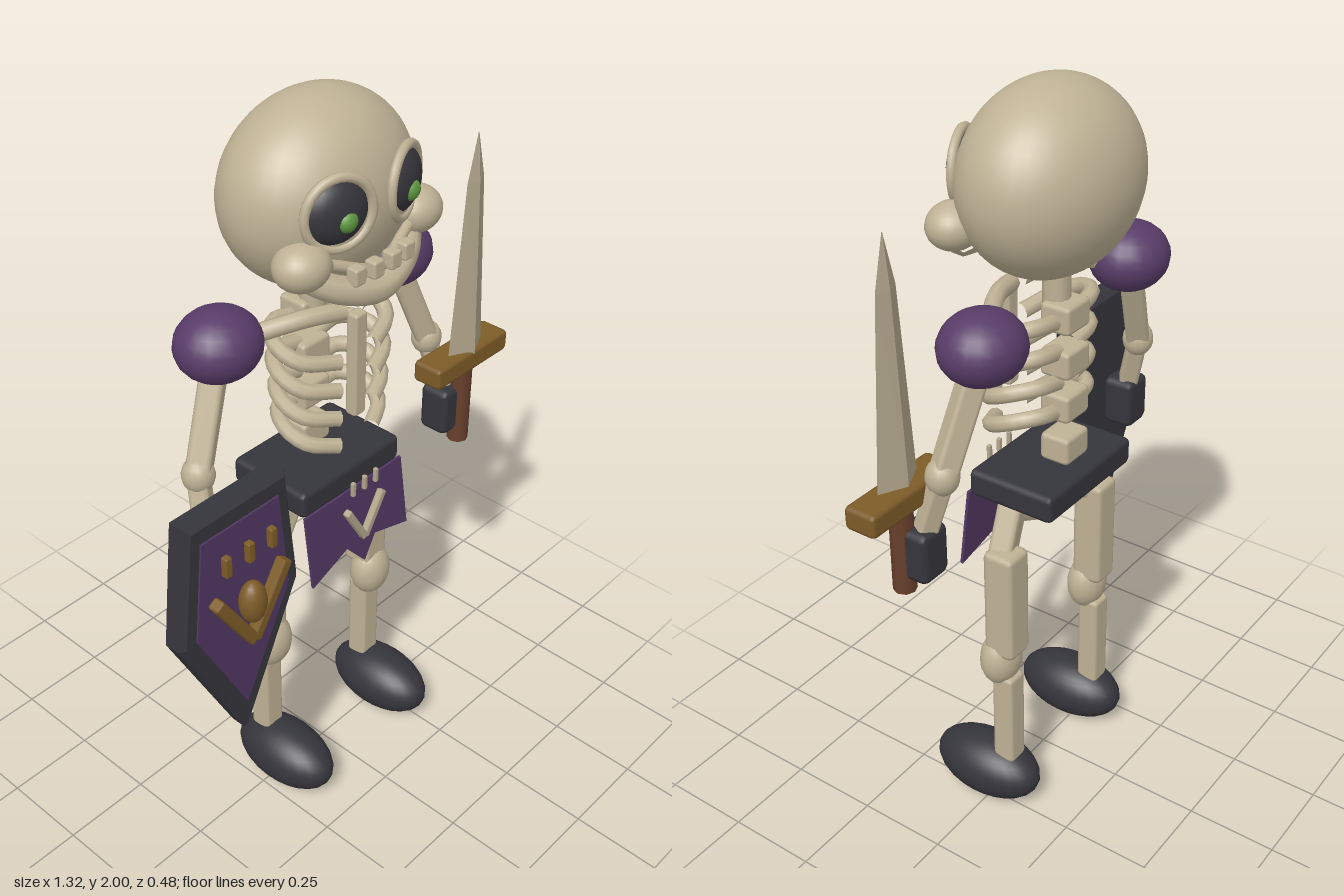
import * as THREE from 'three';
import { RoundedBoxGeometry } from 'three/addons/geometries/RoundedBoxGeometry.js';

const mat = (name, color) => {
  const m = new THREE.MeshStandardMaterial({ color });
  m.name = name;
  return m;
};
const V = (x, y, z) => new THREE.Vector3(x, y, z);

export function createModel() {
  const bone = mat('bone', 0xbfb295);
  const steel = mat('blade', 0xb2a68c);
  const dark = mat('darkIron', 0x35353c);
  const purple = mat('purpleArmour', 0x583c68);
  const cloth = mat('purpleCloth', 0x513762);
  cloth.side = THREE.DoubleSide;
  const gold = mat('gold', 0x7d5c28);
  const brown = mat('gripLeather', 0x683f2b);
  const green = mat('eyeGlow', 0x5f9a40);

  const model = new THREE.Group();
  model.name = 'skeletonWarrior';
  const body = new THREE.Group(); // symmetric figure, slightly off the centre line
  body.name = 'body';
  body.position.x = 0.03;
  model.add(body);

  const add = (parent, name, geo, material, x = 0, y = 0, z = 0) => {
    const m = new THREE.Mesh(geo, material);
    m.name = name;
    m.position.set(x, y, z);
    parent.add(m);
    return m;
  };
  const ball = (parent, name, material, p, r, seg = 24) => {
    const m = add(parent, name, new THREE.SphereGeometry(1, seg, Math.round(seg * 0.7)), material, ...p);
    m.scale.set(...r);
    return m;
  };
  const box = (parent, name, material, p, s, r = 0.012) =>
    add(parent, name, new RoundedBoxGeometry(...s, 1, r), material, ...p);
  // Square bar between two points
  const beam = (parent, name, material, a, b, w, d = w) => {
    const dir = b.clone().sub(a);
    const m = box(parent, name, material, a.clone().add(b).multiplyScalar(0.5).toArray(),
      [w, dir.length(), d], Math.min(w, d) * 0.2);
    m.quaternion.setFromUnitVectors(V(0, 1, 0), dir.normalize());
    return m;
  };
  const tube = (parent, name, material, pts, r, seg = 14) =>
    add(parent, name, new THREE.TubeGeometry(new THREE.CatmullRomCurve3(pts), seg, r, 8), material);
  const polygon = (pts) => new THREE.Shape(pts.map(([x, y]) => new THREE.Vector2(x, y)));

  // Skull, jaw and teeth
  ball(body, 'skull', bone, [0, 1.765, -0.045], [0.265, 0.235, 0.2], 40);
  tube(body, 'jaw', bone, [V(-0.2, 1.66, 0.06), V(-0.12, 1.605, 0.125), V(0, 1.575, 0.155),
    V(0.12, 1.605, 0.125), V(0.2, 1.66, 0.06)], 0.035, 20);
  tube(body, 'gum', bone, [V(-0.135, 1.67, 0.12), V(0, 1.625, 0.15), V(0.135, 1.67, 0.12)], 0.014);
  for (const x of [-0.085, -0.03, 0.03, 0.085])
    box(body, 'tooth', bone, [x, 1.638, 0.165 - Math.abs(x) * 0.12], [0.037, 0.045, 0.035], 0.007);

  // Spine and neck
  for (let i = 0; i < 4; i++) box(body, 'vertebra', bone, [0, 1.43 - i * 0.12, -0.085], [0.1, 0.075, 0.085]);
  add(body, 'neck', new THREE.CylinderGeometry(0.035, 0.035, 0.14, 10), bone, 0, 1.5, -0.06);
  box(body, 'sternum', bone, [0, 1.335, 0.085], [0.042, 0.29, 0.035], 0.008);

  // Belt, cloth and trim
  box(body, 'belt', dark, [0, 0.985, -0.045], [0.37, 0.075, 0.25], 0.015);
  const loin = add(body, 'loincloth', new THREE.ExtrudeGeometry(polygon([[-0.185, 0], [-0.175, -0.225],
    [-0.04, -0.175], [0.025, -0.25], [0.07, -0.185], [0.2, -0.22], [0.185, 0]]),
  { depth: 0.008, bevelEnabled: false }), cloth, 0, 0.955, 0.078);
  loin.rotation.x = -0.08;
  for (const x of [-0.043, 0, 0.043]) box(body, 'beltStud', steel, [x, 0.99, 0.12], [0.012, 0.042, 0.012], 0.003);
  tube(body, 'pelvis', bone, [V(-0.14, 0.95, -0.03), V(-0.08, 0.89, -0.04), V(0, 0.9, -0.06),
    V(0.08, 0.89, -0.04), V(0.14, 0.95, -0.03)], 0.03);

  for (const s of [-1, 1]) {
    // Face details
    ball(body, 'eyeSocket', dark, [s * 0.11, 1.79, 0.108], [0.085, 0.08, 0.047]).rotation.y = s * 0.3;
    const rim = add(body, 'eyeRim', new THREE.TorusGeometry(0.086, 0.012, 8, 28), bone, s * 0.112, 1.79, 0.125);
    rim.rotation.y = s * 0.35;
    ball(body, 'eye', green, [s * 0.107, 1.777, 0.147], [0.027, 0.026, 0.02], 16);
    ball(body, 'cheek', bone, [s * 0.195, 1.68, 0.09], [0.072, 0.058, 0.065]);

    // Collarbone and ribs
    tube(body, 'collarbone', bone, [V(s * 0.02, 1.48, 0.06), V(s * 0.12, 1.49, 0.03), V(s * 0.26, 1.465, -0.05)], 0.023);
    for (let i = 0; i < 4; i++) {
      const y = 1.42 - i * 0.082;
      const w = 0.172 - i * 0.008;
      tube(body, 'rib', bone, [V(s * 0.03, y, -0.085), V(s * w * 0.7, y + 0.015, -0.08), V(s * w, y, -0.02),
        V(s * w * 0.9, y - 0.03, 0.045), V(s * 0.06, y - 0.055, 0.085)], 0.021);
    }

    // Arm
    const elbow = V(s * 0.425, 1.17, -0.035);
    const wrist = V(s * 0.45, 1.0, 0.01);
    ball(body, 'shoulderPad', purple, [s * 0.308, 1.465, -0.07], [0.112, 0.09, 0.104], 20);
    beam(body, 'upperArm', bone, V(s * 0.31, 1.46, -0.07), elbow, 0.062);
    ball(body, 'elbow', bone, elbow.toArray(), [0.042, 0.048, 0.042], 16);
    beam(body, 'forearm', bone, elbow, wrist, 0.052);
    box(body, 'glove', dark, [s * 0.45, 0.96, 0.015], [0.095, 0.14, 0.09], 0.018);

    // Leg
    beam(body, 'hip', bone, V(s * 0.12, 0.97, -0.02), V(s * 0.2, 0.8, -0.03), 0.065);
    box(body, 'thigh', bone, [s * 0.205, 0.68, -0.048], [0.087, 0.32, 0.09], 0.016);
    ball(body, 'knee', bone, [s * 0.205, 0.49, -0.028], [0.063, 0.08, 0.053], 18);
    box(body, 'shin', bone, [s * 0.205, 0.3, -0.05], [0.065, 0.29, 0.065], 0.012);
    ball(body, 'boot', dark, [s * 0.205, 0.092, 0.022], [0.092, 0.09, 0.163], 24);
    beam(body, 'clothChevron', steel, V(s * 0.068, 0.93, 0.122), V(0, 0.815, 0.122), 0.02);
  }

  // Shield
  const shield = new THREE.Group();
  shield.name = 'shield';
  shield.position.set(-0.463, 0, 0);
  model.add(shield);
  const outline = (w, h, top, mid, tip) => polygon([[-w, top], [-h, mid], [0, tip], [h, mid], [w, top]]);
  add(shield, 'shieldBody', new THREE.ExtrudeGeometry(outline(0.16, 0.198, 1.24, 0.9, 0.505), {
    depth: 0.04, bevelThickness: 0.015, bevelSize: 0.015, bevelOffset: -0.015, bevelSegments: 1,
  }), dark, 0, 0, 0.117);
  add(shield, 'shieldField', new THREE.ExtrudeGeometry(outline(0.123, 0.152, 1.185, 0.91, 0.61),
    { depth: 0.006, bevelEnabled: false }), cloth, 0, 0, 0.171);
  ball(shield, 'shieldBoss', gold, [0, 0.96, 0.207], [0.037, 0.06, 0.033], 16);
  for (const s of [-1, 1])
    beam(shield, 'shieldChevron', gold, V(s * 0.113, 1.02, 0.202), V(0, 0.84, 0.202), 0.032);
  for (const x of [-0.073, 0, 0.073])
    box(shield, 'shieldStud', gold, [x, 1.108, 0.202], [0.02, 0.056, 0.02], 0.004);

  // Sword
  const sword = new THREE.Group();
  sword.name = 'sword';
  sword.position.set(0.51, 0, 0.05);
  model.add(sword);
  add(sword, 'grip', new THREE.CylinderGeometry(0.03, 0.03, 0.25, 8), brown, 0, 0.975, 0);
  box(sword, 'guard', gold, [0, 1.12, -0.005], [0.3, 0.062, 0.09], 0.012);

  // Blade: diamond cross-sections [y, half width, half depth], flat shaded
  const rings = [[1.14, 0.07, 0.035], [1.18, 0.068, 0.034], [1.64, 0.034, 0.014], [1.77, 0.001, 0.001]];
  const pos = [];
  const corner = ([y, w, d], k) => [[w, y, 0], [0, y, d], [-w, y, 0], [0, y, -d]][k % 4];
  for (let i = 0; i < rings.length - 1; i++)
    for (let k = 0; k < 4; k++) {
      const a = corner(rings[i], k), b = corner(rings[i], k + 1);
      const c = corner(rings[i + 1], k + 1), d = corner(rings[i + 1], k);
      pos.push(...a, ...c, ...b, ...a, ...d, ...c);
    }
  const blade = new THREE.BufferGeometry();
  // Corners run clockwise seen from above, so each triangle is reversed to face outward
  const ordered = [];
  for (let t = 0; t < pos.length; t += 9)
    ordered.push(...pos.slice(t, t + 3), ...pos.slice(t + 3, t + 6), ...pos.slice(t + 6, t + 9));
  blade.setAttribute('position', new THREE.Float32BufferAttribute(ordered, 3));
  blade.computeVertexNormals();
  const bladeMesh = add(sword, 'blade', blade, steel, 0, 0, 0.005);
  bladeMesh.updateMatrix();

  return model;
}
